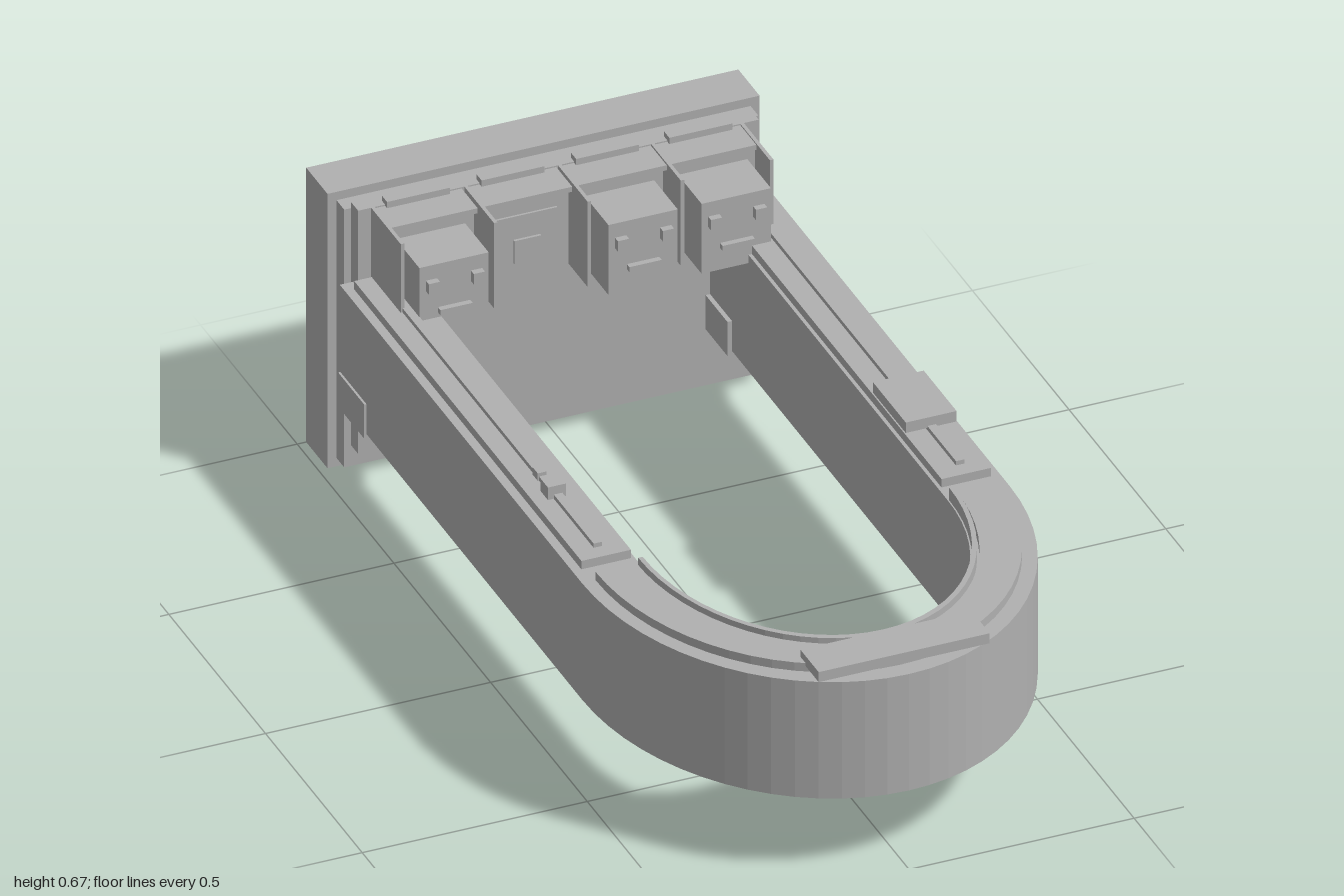
import * as THREE from 'three';

export function createModel() {
  const model = new THREE.Group();
  const grey = new THREE.MeshStandardMaterial({ color: 0xb0b0b0, flatShading: true });
  grey.name = 'light grey';

  const add = (name, geometry) => {
    const mesh = new THREE.Mesh(geometry, grey);
    mesh.name = name;
    model.add(mesh);
    return mesh;
  };
  // Box given by its extents on each axis
  const box = (name, x0, x1, y0, y1, z0, z1) => {
    const g = new THREE.BoxGeometry(x1 - x0, y1 - y0, z1 - z0);
    g.translate((x0 + x1) / 2, (y0 + y1) / 2, (z0 + z1) / 2);
    return add(name, g);
  };
  // U-shaped band: half ellipses around z = 0.41, legs running back to zEnd
  const band = (name, outer, inner, y0, y1, zEnd) => {
    const arc = ([rx, rz]) => {
      const pts = [new THREE.Vector2(rx, zEnd)];
      for (let i = 0; i <= 32; i++) {
        const a = (i / 32) * Math.PI;
        pts.push(new THREE.Vector2(rx * Math.cos(a), 0.415 + rz * Math.sin(a)));
      }
      pts.push(new THREE.Vector2(-rx, zEnd));
      return pts;
    };
    const shape = new THREE.Shape([...arc(outer), ...arc(inner).reverse()]);
    const g = new THREE.ExtrudeGeometry(shape, { depth: y1 - y0, bevelEnabled: false });
    g.rotateX(Math.PI / 2);
    g.translate(0, y1, 0);
    return add(name, g);
  };

  // Stepped wall plate
  box('backPlate', -0.48, 0.48, 0, 0.66, -1, -0.89);
  box('middlePlate', -0.46, 0.46, 0.02, 0.64, -0.89, -0.85);
  box('frontPlate', -0.445, 0.445, 0.07, 0.655, -0.85, -0.813);

  // Main loop with its raised trims
  band('loopBody', [0.475, 0.585], [0.337, 0.445], 0.19, 0.47, -0.838);
  band('curveTrim', [0.445, 0.545], [0.355, 0.468], 0.47, 0.49, 0.414);
  band('innerLip', [0.35, 0.463], [0.34, 0.45], 0.47, 0.5, 0.414);
  box('frontPanel', -0.19, 0.19, 0.483, 0.507, 0.88, 0.975);

  // Rails, strips, brackets and underside bars on both legs
  for (const s of [-1, 1]) {
    const side = (name, a, b, ...rest) =>
      box(name, Math.min(s * a, s * b), Math.max(s * a, s * b), ...rest);
    side('railPlate', 0.345, 0.455, 0.47, 0.49, -0.81, 0.365);
    side('railStrip', 0.393, 0.412, 0.49, 0.5, -0.75, 0.328);
    side('endBracket', 0.327, 0.48, 0.18, 0.262, -0.835, -0.7);
    for (const z of [-0.28, -0.4, -0.52]) {
      side('underBar', 0.37, 0.445, 0.17, 0.19, z - 0.006, z + 0.006);
    }
  }
  box('underBlock', 0.37, 0.445, 0.17, 0.19, -0.75, -0.51);

  // Controls on top of the rails
  box('rightRailPad', 0.345, 0.458, 0.495, 0.52, 0.01, 0.18);
  box('leftRailKnob', -0.425, -0.385, 0.49, 0.52, 0.083, 0.122);
  box('leftRailButton', -0.415, -0.395, 0.49, 0.508, 0.02, 0.046);

  // Four bays, each with a cap and a top tab
  const bays = [-0.315, -0.105, 0.105, 0.312];
  bays.forEach((x, i) => {
    box('bay', x - 0.095, x + 0.095, 0.45, 0.64, -0.813, -0.737);
    box('bayCap', x - 0.1, x + 0.1, 0.64, 0.652, -0.813, -0.73);
    box('bayTab', x - 0.07, x + 0.07, 0.652, 0.667, -0.83, -0.803);
    if (i === 1) {
      // Empty bay with a stepped panel
      box('bayPanel', x - 0.068, x + 0.068, 0.475, 0.61, -0.737, -0.732);
      box('bayInset', x - 0.03, x + 0.03, 0.5, 0.555, -0.732, -0.726);
      return;
    }
    // Blocky head with eyes and mouth
    const c = x - 0.002;
    box('head', c - 0.077, c + 0.077, 0.45, 0.618, -0.75, -0.615);
    for (const s of [-1, 1]) {
      const e = c + s * 0.05;
      box('eye', e - 0.0125, e + 0.0125, 0.559, 0.584, -0.615, -0.6);
    }
    box('mouth', c - 0.036, c + 0.036, 0.502, 0.514, -0.615, -0.602);
  });

  // Thin walls between the bays
  for (const x of [-0.412, -0.205, 0.003, 0.21, 0.408]) {
    box('bayDivider', x - 0.004, x + 0.004, 0.45, 0.655, -0.813, -0.66);
  }

  return model;
}
